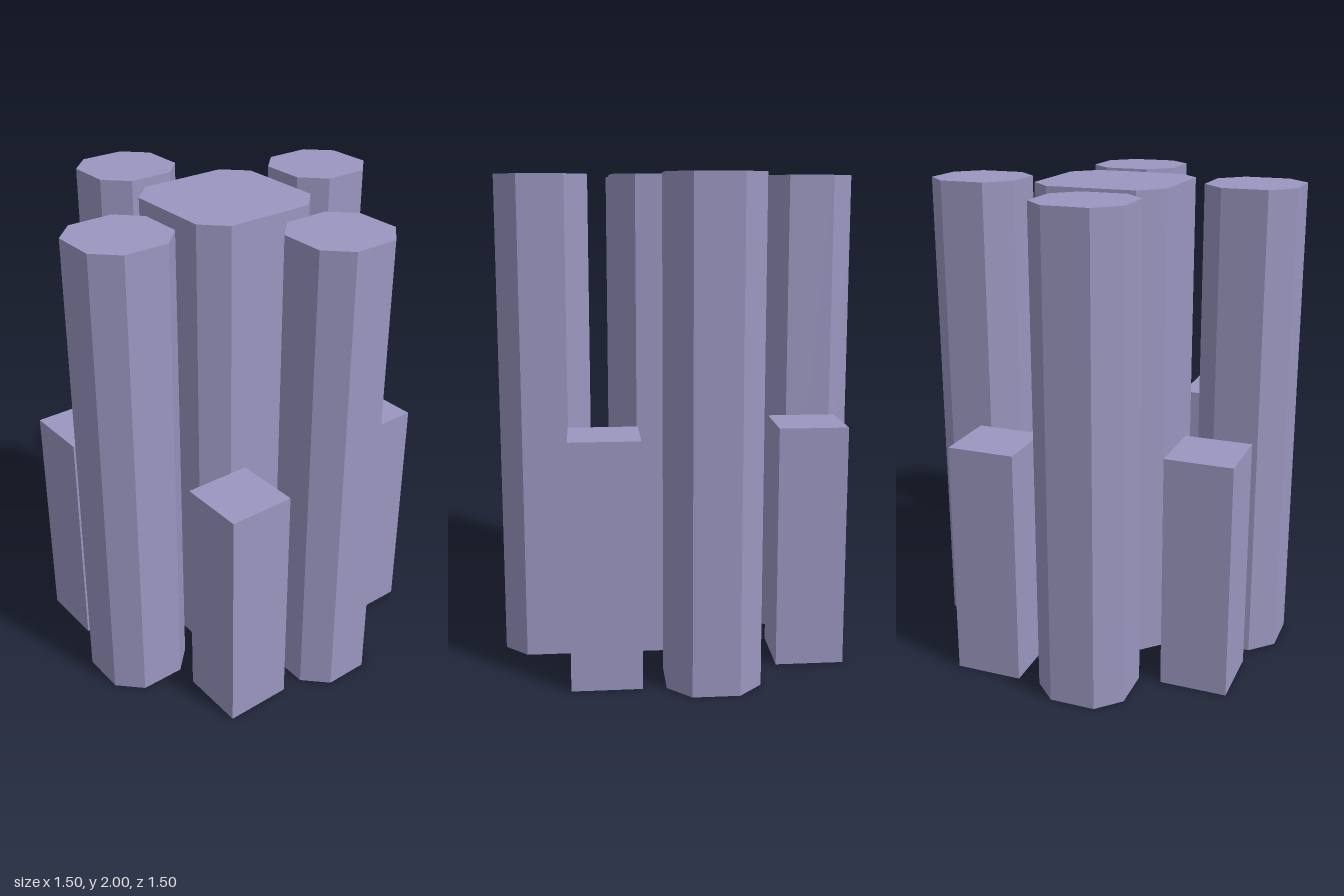
import * as THREE from 'three';

const U = 0.09375; // layout unit
const material = new THREE.MeshStandardMaterial({ color: 0x9a96c0, flatShading: true, side: THREE.DoubleSide });

// Square outline (counter-clockwise from above), with optional cut corners
function outline(half, cut) {
  const points = [];
  const quarter = cut ? [[half, half - cut], [half, cut - half]] : [[half, -half]];
  for (let i = 0; i < 4; i++) {
    for (const [x, z] of quarter) {
      points.push([[x, z], [z, -x], [-x, -z], [-z, x]][i]);
    }
  }
  return points;
}

// Hollow prism: walls and a top, open underneath
function columnGeometry(half, cut, height) {
  const ring = outline(half * U, cut * U);
  const n = ring.length;
  const positions = [];
  const put = (i, y) => positions.push(ring[i % n][0], y, ring[i % n][1]);
  for (let i = 0; i < n; i++) {
    put(i, 0); put(i + 1, 0); put(i + 1, height);
    put(i, 0); put(i + 1, height); put(i, height);
  }
  for (let i = 1; i < n - 1; i++) {
    put(0, height); put(i, height); put(i + 1, height);
  }
  const geometry = new THREE.BufferGeometry();
  geometry.setAttribute('position', new THREE.Float32BufferAttribute(positions, 3));
  geometry.computeVertexNormals();
  return geometry;
}

export function createModel() {
  const model = new THREE.Group();
  model.name = 'columnCluster';

  const add = (name, geometry, x, z) => {
    const mesh = new THREE.Mesh(geometry, material);
    mesh.name = name;
    mesh.position.set(x * U, 0, z * U);
    model.add(mesh);
  };

  // Wide centre column
  add('centreColumn', columnGeometry(3, 1, 2), 0, 0);

  // Tall eight-sided columns and short square ones, turned in quarter steps
  const tall = columnGeometry(2, 1, 2);
  const short = columnGeometry(1.5, 0, 1);
  let tallAt = [1, 6];
  let shortAt = [5.5, 3.5];
  for (const side of ['front', 'left', 'back', 'right']) {
    add(side + 'TallColumn', tall, ...tallAt);
    add(side + 'ShortColumn', short, ...shortAt);
    tallAt = [tallAt[1], -tallAt[0]];
    shortAt = [shortAt[1], -shortAt[0]];
  }
  return model;
}
